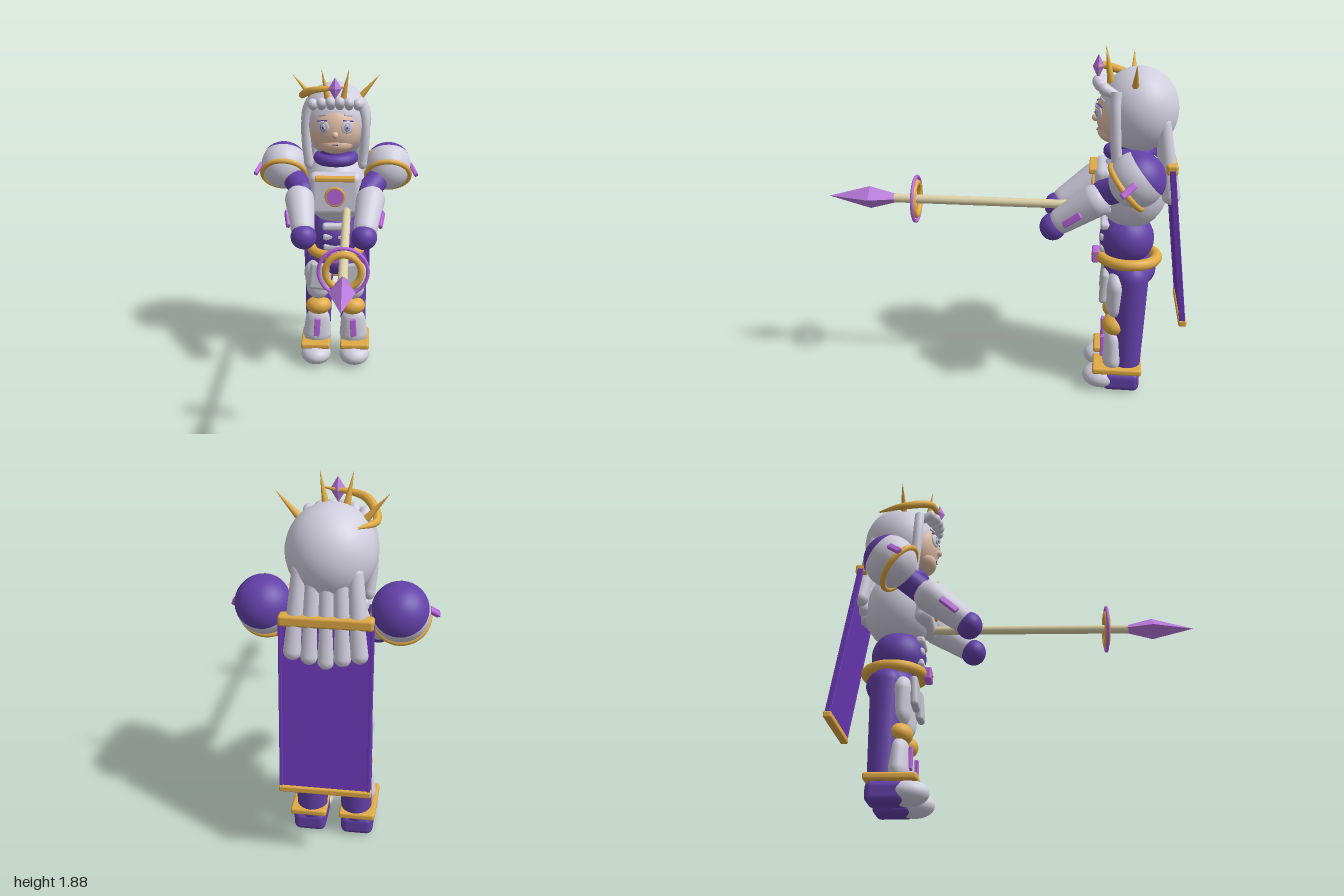
import * as THREE from 'three';
import { RoundedBoxGeometry } from 'three/addons/geometries/RoundedBoxGeometry.js';

const paint = (name, color, opts = {}) => {
  const m = new THREE.MeshStandardMaterial({ color, ...opts });
  m.name = name;
  return m;
};

export function createModel() {
  const silver = paint('silver', 0xd0cedd);
  const plate = paint('plate grey', 0xc0c0cc);
  const purple = paint('suit purple', 0x6240a8);
  const capeMat = paint('cape purple', 0x6c38b6);
  const gold = paint('gold', 0xe0aa44);
  const violet = paint('gem violet', 0xba66de);
  const crystal = paint('crystal purple', 0xb878dc, { flatShading: true });
  const wood = paint('pale wood', 0xddd2a8);
  const skin = paint('skin', 0xe4c0a9);
  const ink = paint('slate', 0x5c5c86);

  const model = new THREE.Group();
  model.name = 'armouredSpearBearer';
  const V = (x, y, z) => new THREE.Vector3(x, y, z);
  const UP = V(0, 1, 0);

  const add = (name, geo, mat, pos = [0, 0, 0], rot = [0, 0, 0]) => {
    const m = new THREE.Mesh(geo, mat);
    m.name = name;
    m.position.set(...pos);
    m.rotation.set(...rot);
    model.add(m);
    return m;
  };
  const ball = (name, mat, pos, r, rot) =>
    add(name, new THREE.SphereGeometry(1, 32, 20).scale(...r), mat, pos, rot);
  const box = (name, mat, pos, size, rot, round = 0.25) =>
    add(name, new RoundedBoxGeometry(...size, 3, Math.min(...size) * round), mat, pos, rot);
  // Turn a part so that its own axis follows a direction
  const aim = (mesh, dir, axis = UP) => {
    mesh.quaternion.setFromUnitVectors(axis, dir.clone().normalize());
    return mesh;
  };
  // Round-ended limb from a to b with a different radius at each end
  const limb = (name, mat, a, b, ra, rb) => {
    const A = V(...a), B = V(...b), len = A.distanceTo(B);
    const arc = (r, y, from, to) => Array.from({ length: 9 }, (_, i) => {
      const t = from + (to - from) * i / 8;
      return new THREE.Vector2(Math.max(0, r * Math.cos(t)), y + r * Math.sin(t));
    });
    const profile = [...arc(ra, 0, -Math.PI / 2, 0), ...arc(rb, len, 0, Math.PI / 2)];
    return aim(add(name, new THREE.LatheGeometry(profile, 24), mat, a), B.sub(A));
  };
  const spike = (name, mat, a, b, r) => {
    const A = V(...a), B = V(...b), mid = A.clone().lerp(B, 0.5);
    return aim(add(name, new THREE.ConeGeometry(r, A.distanceTo(B), 12), mat, mid.toArray()), B.sub(A));
  };

  // Head and face
  ball('face', skin, [0, 1.54, -0.62], [0.165, 0.17, 0.145]);
  ball('jaw', skin, [0, 1.45, -0.575], [0.11, 0.065, 0.09]);
  ball('nose', skin, [0, 1.515, -0.475], [0.018, 0.02, 0.02]);
  box('mouth', ink, [0, 1.455, -0.485], [0.035, 0.006, 0.006]);
  ball('hair', silver, [0, 1.565, -0.695], [0.21, 0.222, 0.205]);
  for (const s of [-1, 1]) {
    const turn = [0, s * 0.4, 0];
    ball('eye', silver, [s * 0.07, 1.56, -0.488], [0.038, 0.038, 0.01], turn);
    ball('irisRim', ink, [s * 0.07, 1.56, -0.481], [0.019, 0.024, 0.006], turn);
    ball('iris', plate, [s * 0.07, 1.56, -0.478], [0.016, 0.021, 0.007], turn);
    ball('pupil', purple, [s * 0.07, 1.558, -0.473], [0.007, 0.009, 0.004], turn);
    box('lash', purple, [s * 0.075, 1.595, -0.492], [0.062, 0.007, 0.009], [0, s * 0.4, -s * 0.12]);
    box('brow', plate, [s * 0.075, 1.624, -0.507], [0.05, 0.009, 0.009], [0, s * 0.4, -s * 0.2]);
    // Locks framing the face
    const lock = new THREE.CatmullRomCurve3([
      V(s * 0.15, 1.68, -0.575), V(s * 0.172, 1.58, -0.575), V(s * 0.172, 1.45, -0.58), V(s * 0.16, 1.33, -0.59)]);
    add('frontLock', new THREE.TubeGeometry(lock, 20, 0.028, 12), silver);
    ball('lockTip', silver, [s * 0.16, 1.33, -0.59], [0.028, 0.045, 0.028]);
  }
  for (let i = 0; i < 6; i++) {
    const x = (i - 2.5) * 0.052, back = x * x * 2;
    limb('fringe', silver, [x, 1.655, -0.55 - back], [x, 1.705 - back * 0.5, -0.48 - back], 0.022, 0.03);
  }
  for (let i = -2; i <= 2; i++)
    limb('backLock', silver, [i * 0.062, 1.52, -0.82],
      [i * 0.076, 1.11 + Math.abs(i) * 0.02, -0.875], 0.035, 0.048);

  // Crown
  for (const s of [-1, 1]) {
    spike('frontSpike', gold, [s * 0.045, 1.71, -0.545], [s * 0.078, 1.885, -0.515], 0.02);
    spike('sideSpike', gold, [s * 0.14, 1.70, -0.667], [s * 0.257, 1.835, -0.667], 0.02);
  }
  const gem = add('crownGem', new THREE.OctahedronGeometry(1), crystal, [0, 1.782, -0.48]);
  gem.scale.set(0.038, 0.063, 0.03);
  // Crescent: a tube thinned toward both ends
  const arc = new THREE.CatmullRomCurve3([
    V(-0.13, 1.72, -0.81), V(-0.2, 1.71, -0.67), V(-0.13, 1.765, -0.52), V(0.06, 1.79, -0.485)]);
  const crescent = new THREE.TubeGeometry(arc, 32, 0.022, 12);
  const cp = crescent.attributes.position, p = V(0, 0, 0);
  for (let i = 0; i < cp.count; i++) {
    const t = Math.floor(i / 13) / 32, c = arc.getPointAt(t);
    p.fromBufferAttribute(cp, i).sub(c).multiplyScalar(0.2 + 0.8 * Math.sin(Math.PI * t)).add(c);
    cp.setXYZ(i, p.x, p.y, p.z);
  }
  crescent.computeVertexNormals();
  add('crescent', crescent, gold);

  // Torso
  add('neck', new THREE.CylinderGeometry(0.1, 0.1, 0.09, 32), purple, [0, 1.35, -0.655]);
  add('collar', new THREE.TorusGeometry(0.1, 0.035, 16, 40).rotateX(Math.PI / 2), purple, [0, 1.34, -0.655]);
  ball('chest', silver, [0, 1.14, -0.68], [0.19, 0.22, 0.19]);
  box('breastplate', silver, [0, 1.15, -0.53], [0.31, 0.26, 0.1], [0, 0, 0], 0.4);
  box('chestBar', gold, [0, 1.255, -0.495], [0.235, 0.028, 0.09]);
  const disc = new THREE.CylinderGeometry(0.05, 0.05, 0.02, 32).rotateX(Math.PI / 2);
  add('chestGem', disc, violet, [0, 1.145, -0.473]);
  add('chestRing', new THREE.TorusGeometry(0.053, 0.009, 12, 32), gold, [0, 1.145, -0.474]);
  ball('abdomen', purple, [0, 0.855, -0.665], [0.15, 0.145, 0.148]);
  [0.935, 0.87, 0.805].forEach((y, i) =>
    box('abPlate', silver, [0, y, -0.545], [0.155 - i * 0.005, 0.042, 0.05], [0, 0, 0], 0.4));
  ball('pelvis', purple, [0, 0.68, -0.69], [0.17, 0.1, 0.14]);
  add('belt', new THREE.TorusGeometry(0.152, 0.03, 16, 48).rotateX(Math.PI / 2), gold, [0, 0.75, -0.68]);
  box('buckle', violet, [0, 0.75, -0.5], [0.1, 0.07, 0.04]);
  box('buckleStud', gold, [0, 0.75, -0.479], [0.03, 0.01, 0.008]);

  // Cape
  const top = V(0, 1.3, -0.87), hem = V(0, 0.455, -0.975);
  const mid = top.clone().lerp(hem, 0.5), drop = top.distanceTo(hem);
  aim(box('cape', capeMat, mid.toArray(), [0.42, drop, 0.022]), top.clone().sub(hem));
  for (const s of [-1, 1])
    aim(box('capeEdge', capeMat, [s * 0.208, mid.y, mid.z], [0.016, drop, 0.032]), top.clone().sub(hem));
  box('capeBar', gold, top.toArray(), [0.43, 0.055, 0.06]);
  box('capeHem', gold, hem.toArray(), [0.44, 0.034, 0.042]);

  // Arms and legs
  for (const s of [-1, 1]) {
    const shoulder = [s * 0.317, 1.28, -0.69], out = V(0, -0.62, 0.78);
    ball('pauldron', silver, shoulder, [0.138, 0.142, 0.14]);
    aim(add('pauldronCap', new THREE.SphereGeometry(0.144, 32, 16, 0, Math.PI * 2, 0, 1.15), purple, shoulder),
      V(0, 0.62, -0.78));
    aim(add('pauldronRim', new THREE.TorusGeometry(0.13, 0.015, 12, 40), gold, [s * 0.315, 1.237, -0.64]),
      out, V(0, 0, 1));
    aim(box('pauldronGem', violet, [s * 0.468, 1.268, -0.647], [0.024, 0.09, 0.032]), V(-s * 0.035, 0.05, -0.06));
    limb('upperArm', purple, [s * 0.28, 1.24, -0.66], [s * 0.195, 1.165, -0.53], 0.07, 0.07);
    limb('forearm', silver, [s * 0.21, 1.125, -0.485], [s * 0.183, 1.005, -0.32], 0.087, 0.07);
    ball('hand', purple, [s * 0.175, 0.965, -0.272], [0.075, 0.073, 0.07]);
    aim(box('forearmGem', violet, [s * 0.275, 1.04, -0.375], [0.022, 0.11, 0.036]), V(-s * 0.02, -0.075, 0.1));

    const x = s * 0.115;
    limb('leg', purple, [s * 0.105, 0.66, -0.7], [x, 0.12, -0.69], 0.09, 0.077);
    limb('thighGuard', silver, [s * 0.11, 0.50, -0.615], [s * 0.11, 0.61, -0.615], 0.072, 0.086).scale.z = 0.65;
    box('thighPlate', plate, [s * 0.1, 0.605, -0.552], [0.12, 0.17, 0.04], [-0.08, 0, s * 0.08], 0.45);
    ball('knee', gold, [s * 0.108, 0.38, -0.62], [0.081, 0.058, 0.07]);
    limb('shinGuard', silver, [s * 0.117, 0.19, -0.615], [s * 0.113, 0.285, -0.615], 0.09, 0.078).scale.z = 0.65;
    box('shinGem', violet, [x, 0.25, -0.555], [0.038, 0.12, 0.022], [0, 0, s * 0.06]);
    box('ankleCuff', gold, [s * 0.125, 0.136, -0.64], [0.185, 0.038, 0.27], [0, 0, 0], 0.35);
    box('heel', purple, [s * 0.122, 0.065, -0.665], [0.165, 0.11, 0.2], [0, 0, 0], 0.3);
    ball('toe', silver, [s * 0.123, 0.07, -0.555], [0.095, 0.065, 0.105]);
  }

  // Spear
  const sx = 0.07, sy = 1.055, lay = Math.PI / 2;
  add('spearShaft', new THREE.CylinderGeometry(0.024, 0.024, 1.17, 20).rotateX(lay), wood, [sx, sy, 0.015]);
  add('spearPoint', new THREE.ConeGeometry(0.063, 0.23, 4, 1, true).rotateX(lay), crystal, [sx, sy, 0.85]);
  add('spearBase', new THREE.CylinderGeometry(0.063, 0.024, 0.145, 4).rotateX(lay), crystal, [sx, sy, 0.6625]);
  add('spearOuterRing', new THREE.TorusGeometry(0.122, 0.009, 12, 48), violet, [sx, sy, 0.478]);
  add('spearInnerRing', new THREE.TorusGeometry(0.088, 0.017, 12, 48), gold, [sx, sy, 0.478]);
  return model;
}
